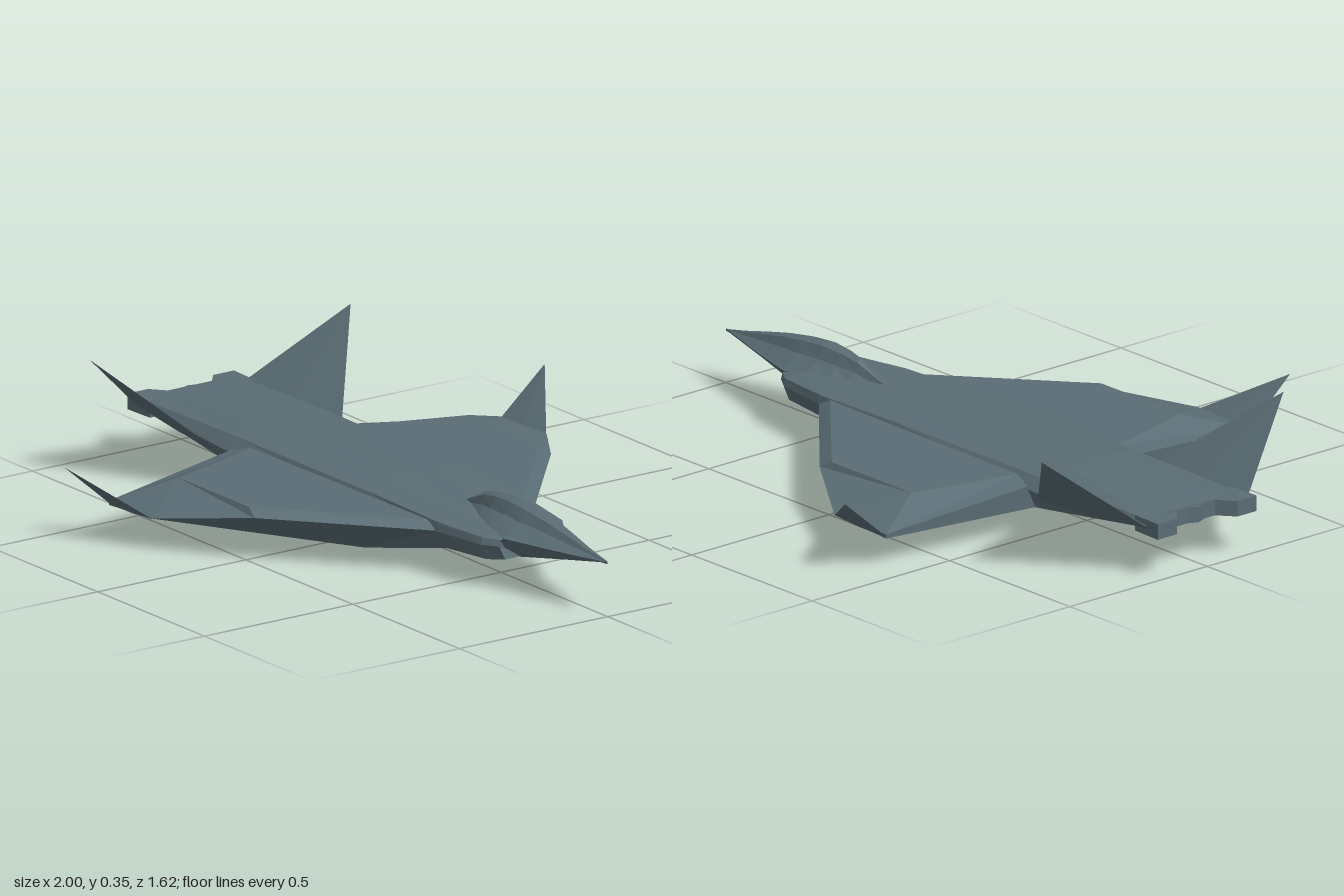
import * as THREE from 'three';

const skin = new THREE.MeshStandardMaterial({ color: 0x5a6c74, flatShading: true, side: THREE.DoubleSide });

// Mesh from points and convex polygons; s = -1 mirrors it across z
function facets(name, pts, polys, s = 1) {
  const pos = [];
  for (const poly of polys) {
    for (let i = 1; i < poly.length - 1; i++) {
      const tri = [poly[0], poly[i], poly[i + 1]];
      if (s < 0) tri.reverse();
      for (const k of tri) pos.push(pts[k][0], pts[k][1], s * pts[k][2]);
    }
  }
  const geo = new THREE.BufferGeometry();
  geo.setAttribute('position', new THREE.Float32BufferAttribute(pos, 3));
  geo.computeVertexNormals();
  const mesh = new THREE.Mesh(geo, skin);
  mesh.name = name;
  return mesh;
}

// Loft along x through half sections [z, y] running from top centre to bottom centre
function loft(name, sections) {
  const pts = [], polys = [];
  const n = (sections[0].half.length - 1) * 2;
  for (const { x, half } of sections) {
    const other = half.slice(1, -1).reverse().map(([z, y]) => [-z, y]);
    for (const [z, y] of [...half, ...other]) pts.push([x, y, z]);
  }
  for (let i = 0; i < sections.length - 1; i++) {
    for (let j = 0; j < n; j++) {
      const k = (j + 1) % n, a = i * n, b = a + n;
      polys.push([a + j, a + k, b + k, b + j]);
    }
  }
  const ring = [...Array(n).keys()];
  polys.push(ring.slice().reverse(), ring.map((j) => j + n * (sections.length - 1)));
  return facets(name, pts, polys);
}

// Thin triangular blade, thickest at the middle of its root
function blade(name, front, rear, tip, t, s) {
  const [f, r, p] = [front, rear, tip].map((a) => new THREE.Vector3(...a));
  const normal = p.clone().sub(r).cross(f.clone().sub(r)).normalize();
  const mid = f.clone().lerp(r, 0.5);
  const pts = [f, r, p, mid.clone().addScaledVector(normal, t), mid.clone().addScaledVector(normal, -t)];
  return facets(name, pts.map((v) => v.toArray()), [[0, 2, 3], [3, 2, 1], [0, 4, 2], [4, 1, 2], [0, 3, 1, 4]], s);
}

function createModel() {
  const model = new THREE.Group();

  // Body: x, belly y/z, side y/z, shoulder y/z, ridge y/z, spine y
  const body = [
    [-0.95, 0.13, 0.15, 0.145, 0.18, 0.16, 0.17, 0.167, 0.10, 0.165],
    [-0.53, 0.079, 0.17, 0.13, 0.2, 0.165, 0.17, 0.186, 0.09, 0.178],
    [0.1, 0, 0.17, 0.135, 0.18, 0.162, 0.165, 0.178, 0.085, 0.172],
    [0.43, 0.075, 0.13, 0.13, 0.165, 0.155, 0.16, 0.168, 0.08, 0.168],
    [0.6, 0.085, 0.12, 0.13, 0.14, 0.15, 0.135, 0.16, 0.08, 0.16],
    [0.645, 0.09, 0.09, 0.13, 0.11, 0.148, 0.105, 0.154, 0.07, 0.154],
    // intake mouths step back inside the lip
    [0.57, 0.095, 0.085, 0.13, 0.1, 0.142, 0.095, 0.147, 0.06, 0.147],
  ];
  model.add(loft('body', body.map(([x, by, bz, sy, sz, hy, hz, ry, rz, cy]) => ({
    x, half: [[0, cy], [rz, ry], [hz, hy], [sz, sy], [bz, by], [0, by]],
  }))));

  // Nose with chines: x, keel y, keel half width, chine half width
  const nose = [[0.42, 0.1, 0.03, 0.06], [0.65, 0.09, 0.04, 0.1], [0.82, 0.122, 0.02, 0.052], [1, 0.155, 0, 0]];
  model.add(loft('nose', nose.map(([x, ky, kz, cz]) => ({
    x, half: [[0, 0.158], [cz, 0.153], [kz, ky], [0, ky]],
  }))));

  // Canopy: x, crown y, half width
  const canopy = [
    [0.34, 0.17, 0.005], [0.44, 0.218, 0.05], [0.5, 0.23, 0.076], [0.57, 0.236, 0.092],
    [0.65, 0.229, 0.094], [0.73, 0.216, 0.074], [0.82, 0.196, 0.05], [0.92, 0.172, 0.022], [1, 0.156, 0],
  ];
  model.add(loft('canopy', canopy.map(([x, top, w]) => {
    const h = top - 0.155;
    return { x, half: [[0, top], [w * 0.25, top - h * 0.12], [w * 0.44, 0.155 + h * 0.45], [w, 0.155], [0, 0.15]] };
  })));

  // Wing corners, upper surface first
  const wing = [
    [-0.42, 0.155, 0.18], // 0 upper root rear
    [-0.33, 0.15, 0.49], // 1 upper crest rear
    [0, 0.15, 0.49], // 2 upper crest front
    [0.38, 0.152, 0.163], // 3 upper root front
    [0.43, 0.13, 0.16], // 4 leading edge root
    [0.04, 0.13, 0.5], // 5 leading edge kink
    [-0.21, 0.095, 0.665], // 6 leading edge tip
    [-0.42, 0.092, 0.66], // 7 trailing edge tip
    [-0.48, 0.14, 0.2], // 8 trailing edge root
    [0.1, 0, 0.17], // 9 belly corner
    [0.43, 0.075, 0.13], // 10 lower root front
    [-0.42, 0.08, 0.66], // 11 lower tip rear
    [-0.48, 0.073, 0.17], // 12 lower root rear
  ];
  const wingFaces = [
    [0, 1, 2, 3], [3, 2, 5, 4], [1, 7, 6, 5, 2], [0, 8, 7, 1],
    [9, 10, 4], [9, 4, 5], [9, 5, 6], [9, 6, 11], [9, 11, 12],
    [12, 11, 7, 8], [6, 7, 11],
  ];

  for (const [s, side] of [[1, 'left'], [-1, 'right']]) {
    model.add(facets(side + 'Wing', wing, wingFaces, s));
    model.add(blade(side + 'Winglet', [-0.21, 0.093, 0.664], [-0.42, 0.086, 0.66], [-0.42, 0.215, 0.81], 0.004, s));
    model.add(blade(side + 'TailFin', [-0.525, 0.115, 0.2], [-0.96, 0.14, 0.178], [-0.815, 0.355, 0.44], 0.006, s));

    // Notched exhaust plate
    const outline = [[-0.9, 0.176], [-1, 0.18], [-1, 0.11], [-0.952, 0.07], [-0.952, 0.03], [-0.965, 0], [-0.9, 0]];
    const shape = new THREE.Shape(outline.map(([x, z]) => new THREE.Vector2(x, s * z)));
    const geo = new THREE.ExtrudeGeometry(shape, { depth: 0.045, bevelEnabled: false });
    geo.rotateX(Math.PI / 2).translate(0, 0.164, 0);
    const exhaust = new THREE.Mesh(geo, skin);
    exhaust.name = side + 'Exhaust';
    model.add(exhaust);
  }
  return model;
}

export { createModel };
